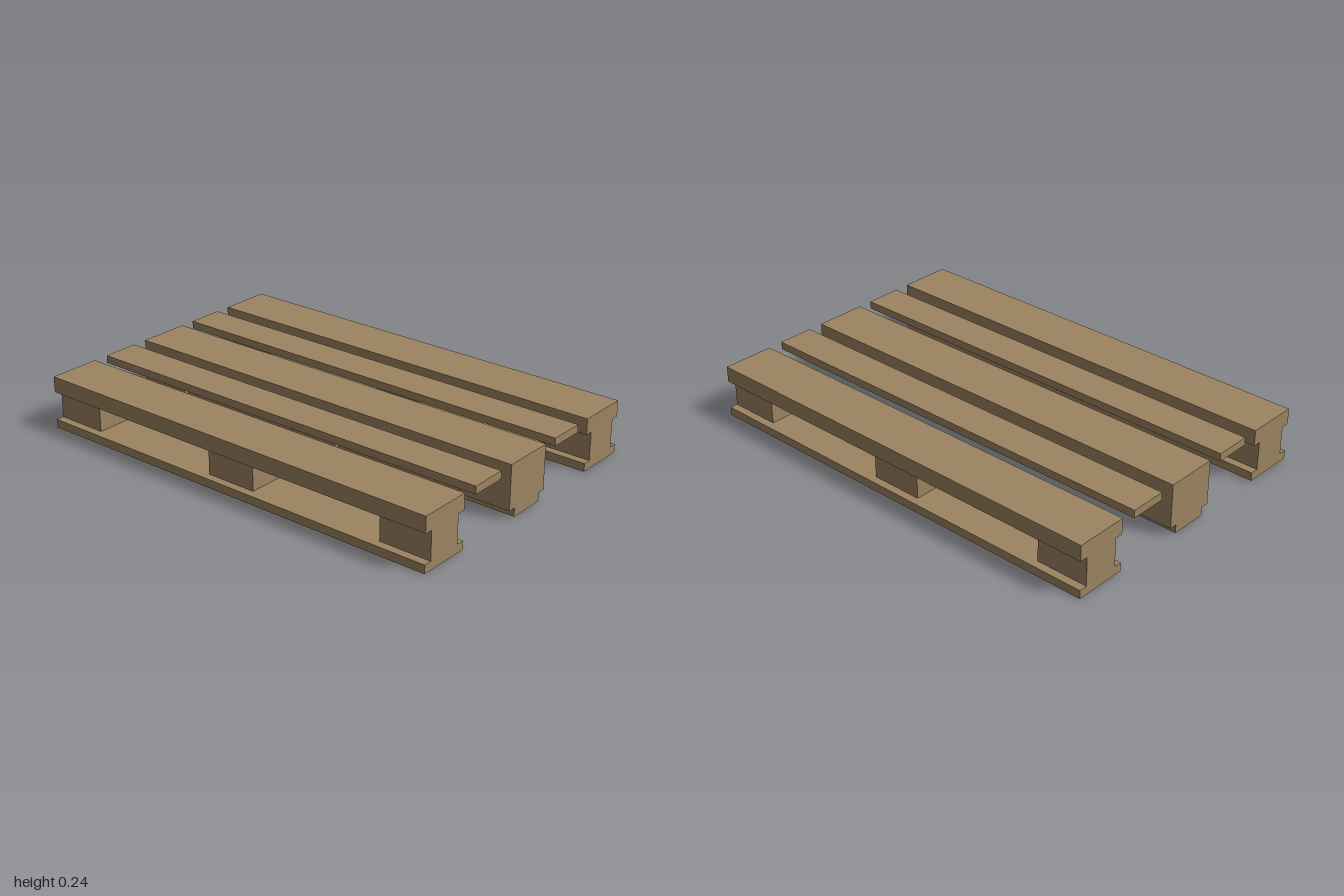
import * as THREE from 'three';

export function createModel() {
  const group = new THREE.Group();
  group.name = 'pallet';
  const wood = new THREE.MeshStandardMaterial({ color: 0x9c8460 });
  wood.name = 'wood';

  // Box given by its centre in x and z, its size, and its bottom and top heights
  function board(name, x, z, width, depth, bottom, top) {
    const mesh = new THREE.Mesh(new THREE.BoxGeometry(width, top - bottom, depth), wood);
    mesh.name = name;
    mesh.position.set(x, (bottom + top) / 2, z);
    group.add(mesh);
  }

  const floorTop = 0.038, beamBottom = 0.168, deckTop = 0.24;
  const runners = [
    { side: 'back', z: -0.548, block: 0.167, base: 0.24 },
    { side: 'middle', z: 0, block: 0.24, base: 0.171 },
    { side: 'front', z: 0.548, block: 0.167, base: 0.24 },
  ];

  // Runners: top beam, three spacer blocks and bottom board
  for (const { side, z, block, base } of runners) {
    board(side + 'TopBeam', 0, z, 2, 0.24, beamBottom, deckTop);
    board(side + 'BottomBoard', 0, z, 2, base, 0, floorTop);
    for (const x of [-0.88, 0, 0.88]) {
      board(side + 'Block', x, z, 0.24, block, floorTop, beamBottom);
    }
  }

  // Thin deck slats between the runners
  for (const z of [-0.273, 0.273]) board('deckSlat', 0, z, 2, 0.168, 0.205, deckTop);

  return group;
}
